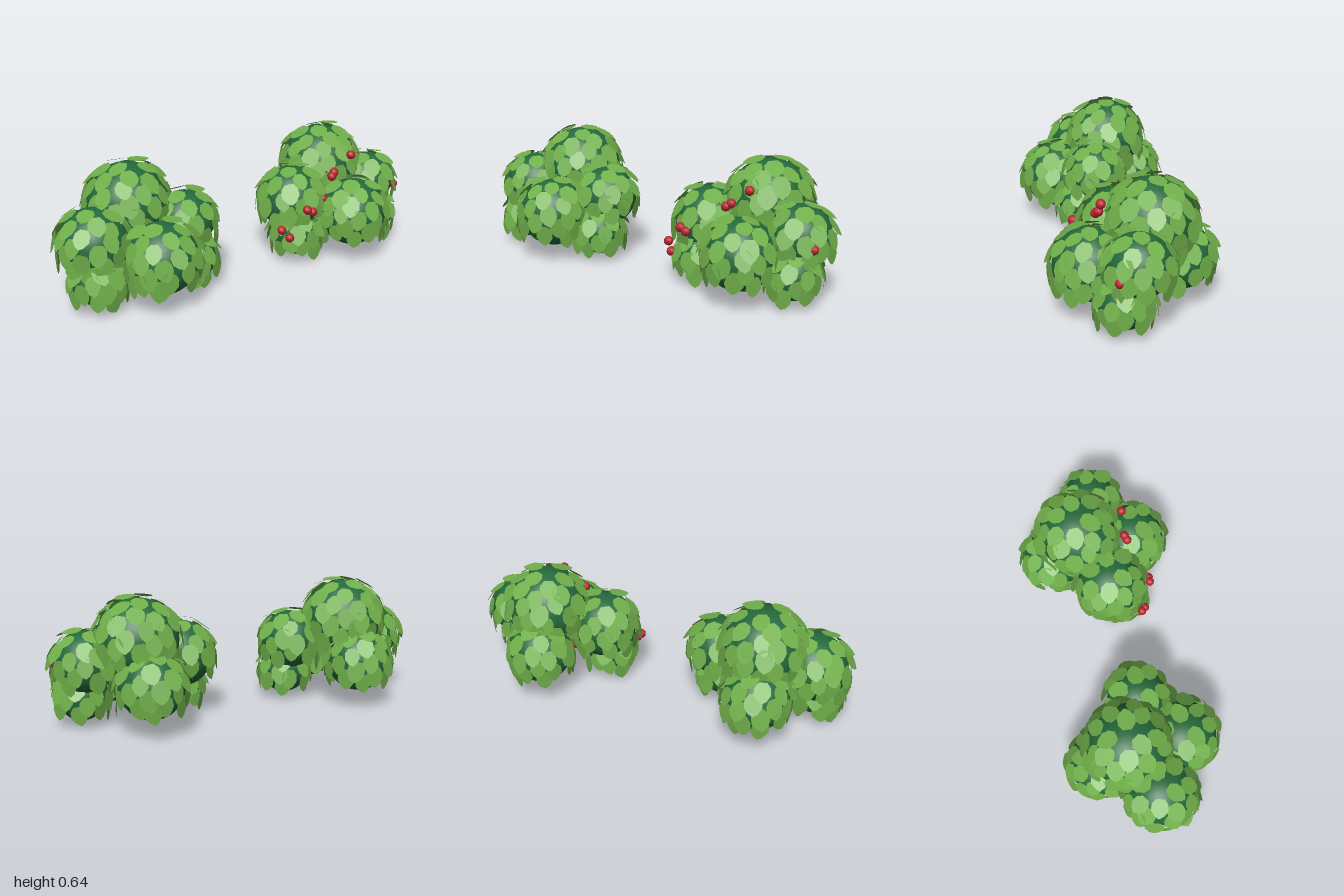
import * as THREE from 'three';
import { mergeGeometries } from 'three/addons/utils/BufferGeometryUtils.js';

const darkGreen = new THREE.MeshStandardMaterial({ color: 0x256a3c });
darkGreen.name = 'darkGreen';
const leafGreen = new THREE.MeshStandardMaterial({ color: 0x70af4a, side: THREE.DoubleSide });
leafGreen.name = 'leafGreen';
const berryRed = new THREE.MeshStandardMaterial({ color: 0xb8262e });
berryRed.name = 'berryRed';

// Small seeded random generator
let seed = 7;
const rand = (a, b) => {
  seed = (seed * 16807) % 2147483647;
  return a + (b - a) * (seed / 2147483647);
};

// Angular leaf, base near the origin and tip pointing down
const leafOutline = [[-0.22, 0.16], [-0.42, -0.1], [-0.43, -0.45], [-0.22, -0.72],
  [0.03, -0.86], [0.26, -0.7], [0.44, -0.4], [0.4, -0.06], [0.2, 0.18]];
const leafShape = new THREE.Shape(leafOutline.map(([x, y]) => new THREE.Vector2(x, y)));
const leafGeometry = new THREE.ShapeGeometry(leafShape);

// Leaves spread in a spiral over the upper part of a blob, leaving small gaps
function leavesFor(blob, others) {
  const [x, y, z, r] = blob;
  const centre = new THREE.Vector3(x, y, z);
  const count = Math.round(14 + r * r * 1250);
  const list = [];
  for (let i = 0; i < count; i++) {
    const h = 1 - ((i + 0.5) / count) * 1.4;
    const ring = Math.sqrt(1 - h * h);
    const a = i * 2.39996 + rand(-0.12, 0.12);
    const n = new THREE.Vector3(Math.cos(a) * ring, h, Math.sin(a) * ring);
    const base = centre.clone().addScaledVector(n, r + rand(0.01, 0.018));
    // skip leaves buried deep in a neighbouring blob
    if (others.some(([ox, oy, oz, or]) => base.distanceTo(new THREE.Vector3(ox, oy, oz)) < or - 0.04)) continue;
    const up = new THREE.Vector3(0, 1, 0).addScaledVector(n, -h).normalize();
    const side = up.clone().cross(n);
    const size = (0.083 + r * 0.08) * rand(0.9, 1.1);
    // leaves lie along the blob, the low ones hang straight down
    const tilt = rand(-0.08, 0.12) - Math.max(0, -h) * 0.9;
    const m = new THREE.Matrix4().makeBasis(side, up, n);
    m.multiply(new THREE.Matrix4().makeRotationFromEuler(
      new THREE.Euler(tilt, rand(-0.12, 0.12), rand(-0.25, 0.25))));
    m.scale(new THREE.Vector3(size, size * 1.05, size)).setPosition(base);
    list.push(leafGeometry.clone().applyMatrix4(m));
  }
  return list;
}

function makeBush(name, blobs) {
  const bush = new THREE.Group();
  bush.name = name;
  const leaves = [];
  for (const blob of blobs) {
    const [x, y, z, r] = blob;
    const core = new THREE.Mesh(new THREE.SphereGeometry(r, 32, 20), darkGreen);
    core.name = 'foliageCore';
    core.position.set(x, y, z);
    bush.add(core);
    leaves.push(...leavesFor(blob, blobs.filter((b) => b !== blob)));
  }
  const mesh = new THREE.Mesh(mergeGeometries(leaves), leafGreen);
  mesh.name = 'leaves';
  bush.add(mesh);
  return bush;
}

export function createModel() {
  seed = 7;
  const model = new THREE.Group();
  model.name = 'bushes';

  // Blobs are x, y, z, radius: crown, front, back, two sides, two low sides
  model.add(makeBush('leftBush', [
    [0.59, 0.43, -0.09, 0.2], [0.595, 0.235, 0.2, 0.175], [0.575, 0.23, -0.225, 0.16],
    [0.815, 0.32, 0.02, 0.15], [0.325, 0.31, 0.025, 0.168],
    [0.815, 0.145, 0.08, 0.125], [0.32, 0.145, 0.085, 0.125],
  ]));
  model.add(makeBush('rightBush', [
    [-0.57, 0.43, -0.09, 0.2], [-0.535, 0.235, 0.2, 0.175], [-0.585, 0.23, -0.225, 0.16],
    [-0.8, 0.31, 0.02, 0.168], [-0.315, 0.32, 0.02, 0.15],
    [-0.815, 0.145, 0.08, 0.125], [-0.32, 0.145, 0.085, 0.125],
  ]));

  // Red berries on one bush
  const berries = new THREE.Group();
  berries.name = 'berries';
  const berryGeometry = new THREE.SphereGeometry(0.024, 8, 6);
  const spots = [[0.61, 0.532, 0.152], [0.51, 0.452, 0.145], [0.488, 0.436, 0.155],
    [0.43, 0.33, 0.165], [0.283, 0.315, 0.23], [0.315, 0.3, 0.232], [0.172, 0.205, 0.165],
    [0.205, 0.165, 0.19], [0.935, 0.303, 0.128], [0.47, 0.185, -0.03]];
  for (const [x, y, z] of spots) {
    const berry = new THREE.Mesh(berryGeometry, berryRed);
    berry.name = 'berry';
    berry.position.set(x, y, z);
    berries.add(berry);
  }
  model.add(berries);
  return model;
}
